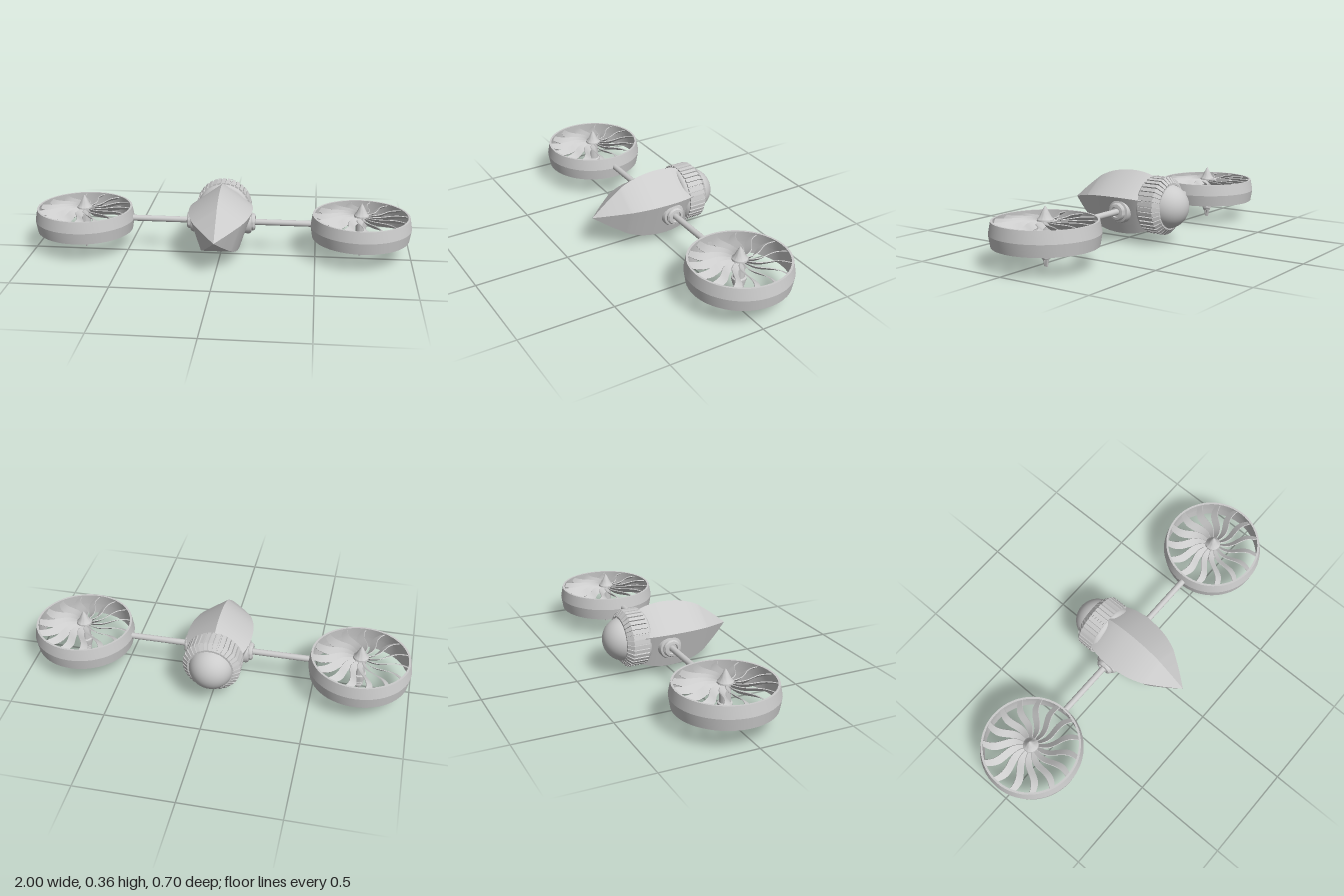
import * as THREE from 'three';
import { toCreasedNormals } from 'three/addons/utils/BufferGeometryUtils.js';

const material = new THREE.MeshStandardMaterial({ color: 0xcccccc });
const AXIS_Z = -0.042;
const FAN_X = 0.735;

function add(parent, name, geometry) {
  const mesh = new THREE.Mesh(geometry, material);
  mesh.name = name;
  parent.add(mesh);
  return mesh;
}

// Revolved profile of [radius, height] pairs, bottom to top.
function lathe(points, sides, crease = 0.5, start = 0) {
  const profile = points.map(([r, h]) => new THREE.Vector2(r, h));
  return toCreasedNormals(new THREE.LatheGeometry(profile, sides, start), crease);
}

// Five-sided teardrop hull along z, with a ridge on top.
function hullGeometry() {
  const curve = new THREE.SplineCurve([
    [0.06, -0.25], [0.128, -0.2], [0.158, -0.14], [0.172, -0.08], [0.176, -0.02],
    [0.171, 0.05], [0.157, 0.115], [0.133, 0.175], [0.11, 0.21], [0.058, 0.28], [0, 0.35],
  ].map(([r, z]) => new THREE.Vector2(r, z)));
  const points = curve.getPoints(40).map((p) => [Math.max(p.x, 0), p.y]);
  return lathe(points, 5, 0.6, Math.PI).rotateX(Math.PI / 2);
}

// Ribbed collar and dome at the tail.
function createTail() {
  const tail = new THREE.Group();
  tail.name = 'tail';
  tail.position.y = 0.194;
  add(tail, 'collarCore', lathe([
    [0.1, -0.262], [0.113, -0.262], [0.141, -0.238], [0.141, -0.153],
    [0.139, -0.144], [0.134, -0.136], [0.126, -0.131], [0.1, -0.127],
  ], 64).rotateX(Math.PI / 2));
  add(tail, 'tailDome', new THREE.SphereGeometry(0.115, 40, 28)).position.set(0, -0.002, -0.235);

  // One rib drawn in the z-radius plane, repeated around the collar.
  const outline = new THREE.Shape([
    [-0.265, 0.11], [-0.152, 0.11], [-0.152, 0.149], [-0.238, 0.149], [-0.265, 0.12],
  ].map(([z, r]) => new THREE.Vector2(z, r)));
  const width = 0.018;
  const rib = new THREE.ExtrudeGeometry(outline, { depth: width, bevelEnabled: false });
  rib.translate(0, 0, -width / 2).rotateY(-Math.PI / 2);
  const count = 36;
  for (let i = 0; i < count; i++) {
    add(tail, 'collarRib', rib).rotation.z = (i / count) * Math.PI * 2;
  }
  return tail;
}

// Arm with a stepped round socket on the hull; side is +1 or -1.
function createArm(side) {
  const arm = new THREE.Group();
  arm.name = side > 0 ? 'leftArm' : 'rightArm';
  arm.position.set(0, 0.168, AXIS_Z);
  const turn = -side * Math.PI / 2;
  add(arm, 'socket', lathe([
    [0.062, 0.09], [0.062, 0.15], [0.057, 0.16], [0.046, 0.163],
    [0.046, 0.172], [0.04, 0.18], [0.028, 0.182], [0.026, 0.172], [0, 0.172],
  ], 32).rotateZ(turn));
  add(arm, 'rod', new THREE.CylinderGeometry(0.016, 0.016, 0.36, 20)
    .translate(0, 0.31, 0).rotateZ(turn));
  return arm;
}

// Thin pitched blade with an S-shaped sweep, along +x.
function bladeGeometry() {
  const blade = new THREE.BoxGeometry(1, 1, 1, 16, 1, 1);
  const pos = blade.attributes.position;
  for (let i = 0; i < pos.count; i++) {
    const t = pos.getX(i) + 0.5;
    const chord = pos.getZ(i) * (0.03 + 0.014 * Math.sin(Math.PI * t));
    const thick = pos.getY(i) * 0.004;
    const pitch = 0.85 - 0.3 * t;
    const sweep = 0.014 * Math.sin(Math.PI * 2 * t);
    pos.setXYZ(i,
      0.025 + 0.224 * t,
      0.207 + chord * Math.sin(pitch) + thick * Math.cos(pitch),
      sweep + chord * Math.cos(pitch) - thick * Math.sin(pitch));
  }
  return toCreasedNormals(blade, 0.6);
}

// Ducted fan: ring, spinner, hub and blades.
function createFan(side) {
  const fan = new THREE.Group();
  fan.name = side > 0 ? 'leftFan' : 'rightFan';
  fan.position.set(side * FAN_X, 0, AXIS_Z - side * 0.003);

  add(fan, 'duct', lathe([
    [0.248, 0.103], [0.254, 0.103], [0.264, 0.163], [0.253, 0.223],
    [0.242, 0.223], [0.248, 0.163], [0.248, 0.103],
  ], 56, 0.12));

  add(fan, 'spinner', lathe([
    [0, 0.218], [0.04, 0.218], [0.039, 0.226], [0.03, 0.235],
    [0.021, 0.252], [0.01, 0.274], [0, 0.29],
  ], 32));

  add(fan, 'hub', lathe([
    [0, 0.036], [0.018, 0.036], [0.021, 0.042], [0.021, 0.047], [0.025, 0.05],
    [0.025, 0.058], [0.022, 0.06], [0.026, 0.063], [0.026, 0.071], [0.024, 0.074],
    [0.028, 0.077], [0.036, 0.106], [0.036, 0.118], [0.028, 0.122], [0.028, 0.222],
  ], 32));

  // Tapered tip, split into two prongs.
  for (const s of [-1, 1]) {
    const prong = new THREE.CylinderGeometry(0.01, 0.005, 0.044, 10);
    add(fan, 'tipProng', prong).position.set(0, 0.022, s * 0.006);
    fan.children[fan.children.length - 1].rotation.x = s * 0.08;
  }

  const blade = bladeGeometry();
  const count = 15;
  for (let i = 0; i < count; i++) {
    add(fan, 'blade', blade).rotation.y = ((i + 0.3) / count) * Math.PI * 2;
  }
  return fan;
}

export function createModel() {
  const model = new THREE.Group();
  model.name = 'twinFanCraft';
  add(model, 'hull', hullGeometry()).position.y = 0.187;
  model.add(createTail());
  for (const side of [1, -1]) model.add(createArm(side), createFan(side));
  return model;
}
